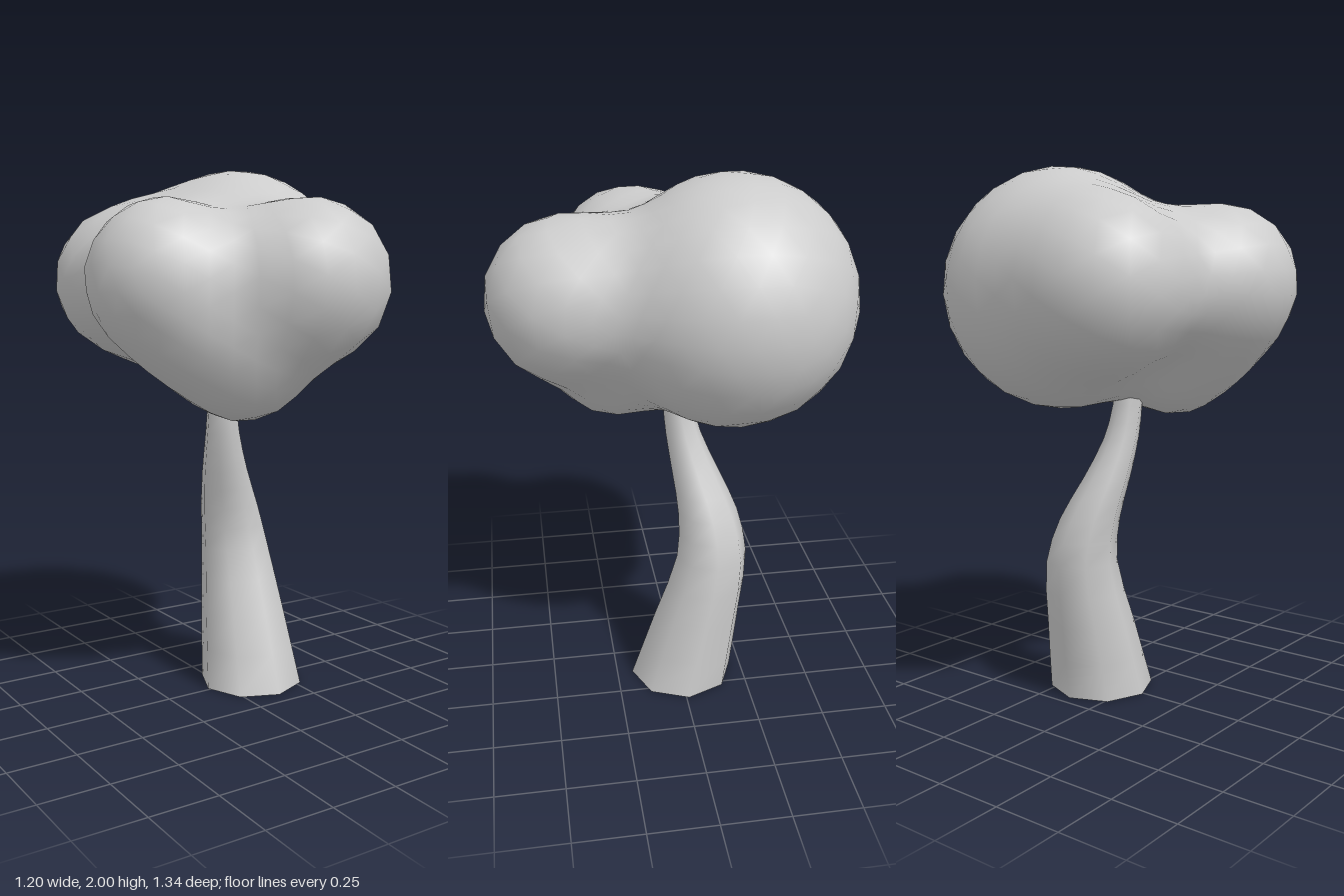
import * as THREE from 'three';
import { mergeVertices } from 'three/addons/utils/BufferGeometryUtils.js';

// Weld seams so that the surface shades smoothly
function smooth(geometry) {
  geometry.deleteAttribute('uv');
  geometry.deleteAttribute('normal');
  const welded = mergeVertices(geometry, 1e-4);
  welded.computeVertexNormals();
  return welded;
}

// Leaf clumps: x, y, z, radius
const CLUMPS = [
  [0.165, 1.56, -0.18, 0.44],
  [-0.2, 1.58, -0.385, 0.287],
  [-0.322, 1.585, 0.12, 0.28],
  [0.1, 1.575, 0.385, 0.29],
  [-0.065, 1.3, 0.21, 0.222],
  [-0.25, 1.41, 0.19, 0.14],
];

// Distance to the softly blended clumps
function crownDistance(p) {
  const k = 0.2;
  let d = Infinity;
  for (const [x, y, z, r] of CLUMPS) {
    const s = Math.hypot(p.x - x, p.y - y, p.z - z) - r;
    if (d === Infinity) { d = s; continue; }
    const h = Math.max(k - Math.abs(d - s), 0) / k;
    d = Math.min(d, s) - h * h * k * 0.25;
  }
  return d;
}

function createCrown(material) {
  // Pull every vertex of a ball inwards until it meets the blended surface
  const geometry = smooth(new THREE.IcosahedronGeometry(1, 6));
  const pos = geometry.attributes.position;
  const centre = new THREE.Vector3(-0.02, 1.54, 0);
  const dir = new THREE.Vector3();
  const p = new THREE.Vector3();
  for (let i = 0; i < pos.count; i++) {
    dir.fromBufferAttribute(pos, i).normalize();
    let t = 1.1;
    for (let n = 0; n < 80; n++) {
      p.copy(centre).addScaledVector(dir, t);
      t -= crownDistance(p) * 0.9;
    }
    p.copy(centre).addScaledVector(dir, t);
    pos.setXYZ(i, p.x, p.y, p.z);
  }
  geometry.computeVertexNormals();
  const crown = new THREE.Mesh(geometry, material);
  crown.name = 'crown';
  return crown;
}

function createTrunk(material) {
  // Bent centre line and its radius, from the ground into the crown
  const height = 1.3;
  const rings = [
    [0, 0.13, -0.01, 0.2],
    [0.28, 0.131, -0.075, 0.168],
    [0.53, 0.13, -0.129, 0.136],
    [0.7, 0.097, -0.118, 0.115],
    [0.85, 0.05, -0.077, 0.09],
    [1.0, 0.013, -0.035, 0.067],
    [1.13, -0.003, -0.015, 0.056],
    [1.3, -0.01, -0.01, 0.05],
  ];
  const line = new THREE.CatmullRomCurve3(rings.map(([y, x, z]) => new THREE.Vector3(x, y, z)));
  const width = new THREE.CatmullRomCurve3(rings.map(([y, , , r]) => new THREE.Vector3(r, y, 0)));
  const geometry = smooth(new THREE.CylinderGeometry(1, 1, height, 8, 14, true));
  const pos = geometry.attributes.position;
  for (let i = 0; i < pos.count; i++) {
    const t = THREE.MathUtils.clamp(pos.getY(i) / height + 0.5, 0, 1);
    const c = line.getPoint(t);
    const r = width.getPoint(t).x;
    pos.setXYZ(i, c.x + pos.getX(i) * r, c.y, c.z + pos.getZ(i) * r);
  }
  geometry.computeVertexNormals();
  const trunk = new THREE.Mesh(geometry, material);
  trunk.name = 'trunk';
  return trunk;
}

export function createModel() {
  const tree = new THREE.Group();
  tree.name = 'tree';
  const leaf = new THREE.MeshStandardMaterial({ color: 0xcccccc });
  const bark = new THREE.MeshStandardMaterial({ color: 0xcccccc, side: THREE.DoubleSide });
  tree.add(createCrown(leaf), createTrunk(bark));
  return tree;
}
